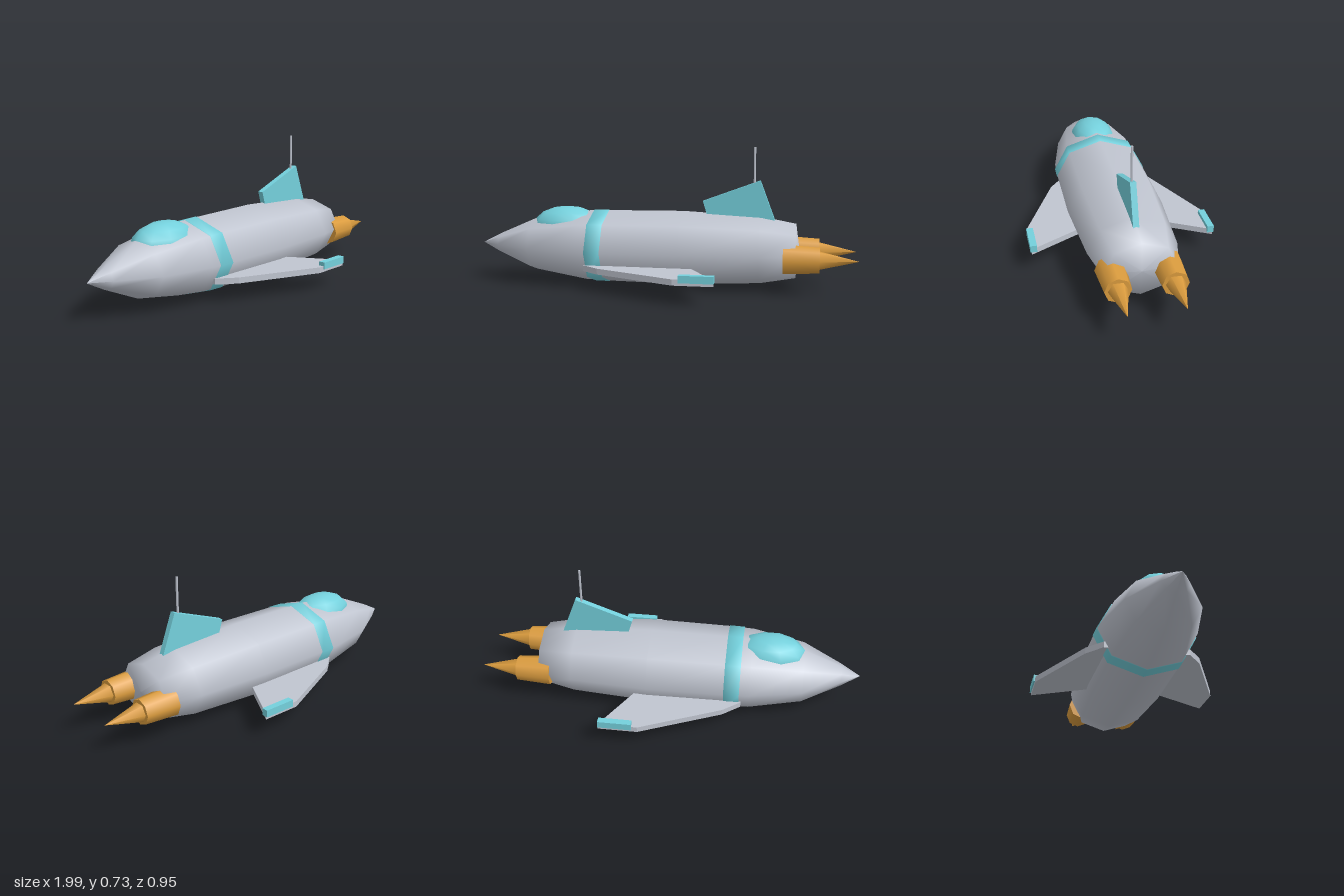
import * as THREE from 'three';

const hullGrey = new THREE.MeshStandardMaterial({ color: 0xc0c5d0 });
hullGrey.name = 'hullGrey';
const trimCyan = new THREE.MeshStandardMaterial({ color: 0x74d0dc });
trimCyan.name = 'trimCyan';
const engineGold = new THREE.MeshStandardMaterial({ color: 0xdb9c3e });
engineGold.name = 'engineGold';

const CENTRE_Y = 0.2;
const SQUASH = 0.78;

function add(parent, name, geometry, material, x = 0, y = 0, z = 0) {
  const mesh = new THREE.Mesh(geometry, material);
  mesh.name = name;
  mesh.position.set(x, y, z);
  parent.add(mesh);
  return mesh;
}

// Surface turned around the x axis from [x, radius] pairs
function turned(profile, sides) {
  const points = profile.map(([x, r]) => new THREE.Vector2(r, x));
  return new THREE.LatheGeometry(points, sides).rotateZ(-Math.PI / 2);
}

// Flat plate: outline in x/y, thickness centred on z
function plate(outline, thickness) {
  const shape = new THREE.Shape(outline.map(([x, y]) => new THREE.Vector2(x, y)));
  return new THREE.ExtrudeGeometry(shape, { depth: thickness, bevelEnabled: false })
    .translate(0, 0, -thickness / 2);
}

export function createModel() {
  const ship = new THREE.Group();
  ship.name = 'rocketShip';

  // Eight-sided hull, squashed in height
  const hull = turned([
    [-1, 0], [-0.9, 0.066], [-0.7, 0.179], [-0.43, 0.238], [-0.3, 0.244],
    [0.1, 0.25], [0.5, 0.224], [0.68, 0.182], [0.7, 0],
  ], 8).scale(1, SQUASH, 1);
  add(ship, 'hull', hull, hullGrey, 0, CENTRE_Y);

  // Painted ring around the hull
  const band = turned([[-0.38, 0.2], [-0.38, 0.246], [-0.3, 0.248], [-0.3, 0.2]], 8)
    .scale(1, SQUASH, 1);
  add(ship, 'hullBand', band, trimCyan, 0, CENTRE_Y);

  // Canopy
  const canopy = new THREE.SphereGeometry(1, 10, 8).scale(0.19, 0.108, 0.124);
  add(ship, 'canopy', canopy, trimCyan, -0.525, 0.3);

  // Tail fin and antenna
  add(ship, 'tailFin',
    plate([[0.24, 0.32], [0.585, 0.32], [0.495, 0.56], [0.2, 0.45]], 0.03), trimCyan);
  add(ship, 'antenna', new THREE.CylinderGeometry(0.006, 0.006, 0.22, 6), hullGrey, 0.465, 0.622);

  for (const side of [1, -1]) {
    const label = side > 0 ? 'front' : 'back';

    // Swept wing with a tip pod
    const outline = [[-0.39, 0.1], [-0.39, 0.21], [-0.3, 0.282], [0.11, 0.467],
      [0.31, 0.467], [0.13, 0.14]].map(([x, z]) => [x, -side * z]);
    add(ship, label + 'Wing', plate(outline, 0.03).rotateX(-Math.PI / 2), hullGrey, 0, 0.116);
    add(ship, label + 'WingPod', new THREE.BoxGeometry(0.17, 0.036, 0.034), trimCyan,
      0.225, 0.133, side * 0.457);

    // Engine nozzle and exhaust spike
    const engine = new THREE.Group();
    engine.name = label + 'Engine';
    engine.position.set(0, 0.18, side * 0.135);
    const nozzle = new THREE.CylinderGeometry(0.065, 0.076, 0.18, 8).rotateZ(-Math.PI / 2);
    add(engine, 'nozzle', nozzle, engineGold, 0.71);
    const spike = new THREE.ConeGeometry(0.05, 0.2, 6).rotateZ(-Math.PI / 2);
    add(engine, 'exhaustSpike', spike, engineGold, 0.893);
    ship.add(engine);
  }
  return ship;
}
